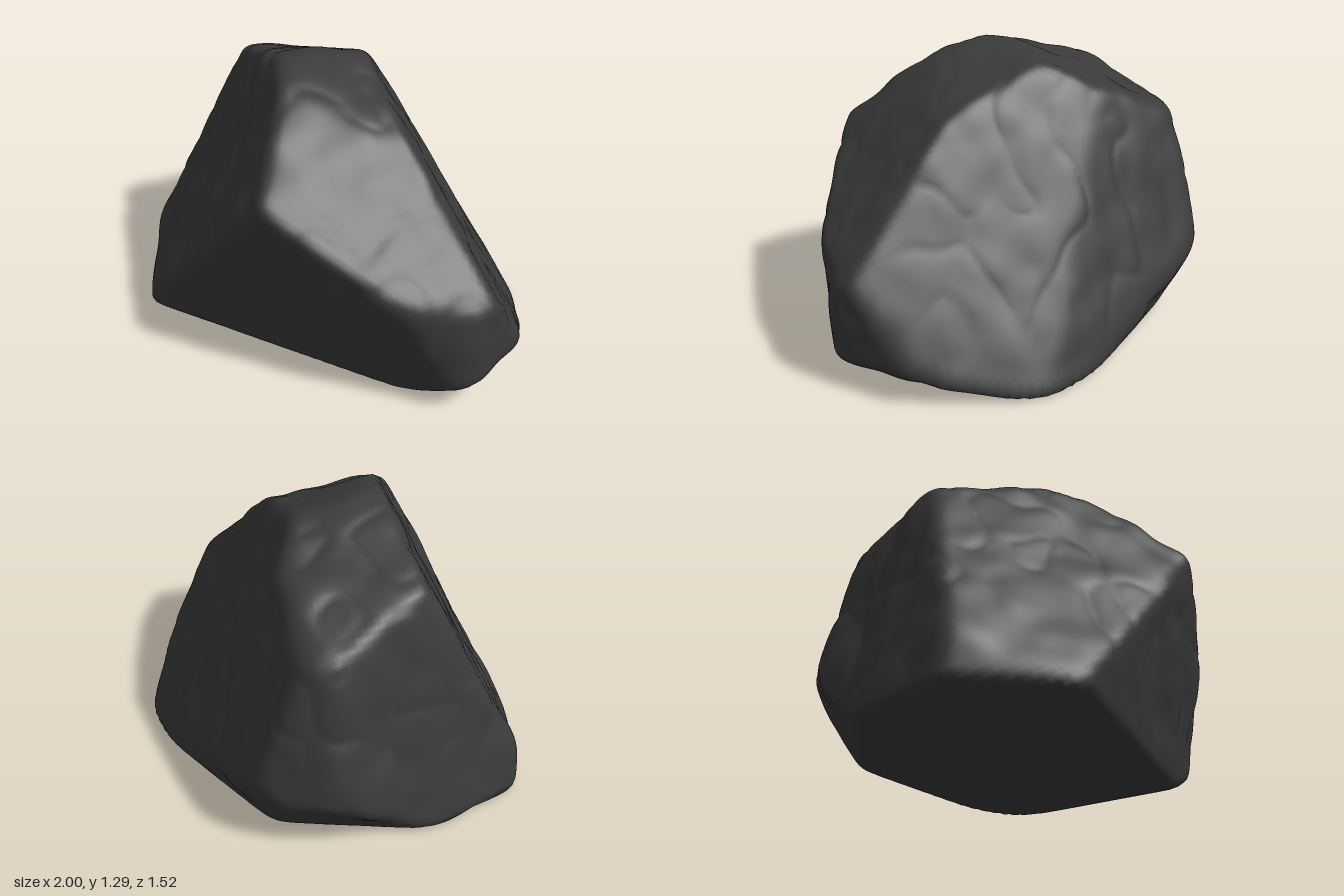
import * as THREE from 'three';
import { mergeVertices } from 'three/addons/utils/BufferGeometryUtils.js';

// Seeded value noise in -1..1
function hash(x, y, z) {
  let h = Math.imul(x, 374761393) ^ Math.imul(y, 668265263) ^ Math.imul(z, 1274126177);
  h = Math.imul(h ^ (h >>> 13), 1103515245);
  return ((h ^ (h >>> 16)) >>> 0) / 2147483647.5 - 1;
}
function noise(x, y, z) {
  const c = [x, y, z].map(Math.floor);
  const [u, v, w] = [x - c[0], y - c[1], z - c[2]].map((t) => t * t * (3 - 2 * t));
  let sum = 0;
  for (let i = 0; i < 8; i++) {
    const a = i & 1, b = (i >> 1) & 1, d = i >> 2;
    sum += hash(c[0] + a, c[1] + b, c[2] + d) * (a ? u : 1 - u) * (b ? v : 1 - v) * (d ? w : 1 - w);
  }
  return sum;
}

// Facets of the boulder: outward direction, and a point lying on the facet
const facets = [
  [[0, -1, 0], [0, 0.006, 0]],                  // underside
  [[-0.614, 0.545, 0.845], [0.2, 0.92, 0.75]],  // sloping front, -x side
  [[0, 0, 1], [0, 0.3, 0.765]],                 // foremost edge
  [[0.25, -0.3, 0.97], [0.2, 0.8, 0.755]],      // overhanging front, +x side
  [[0.76, 0, 0.65], [0.8, 0.3, 0.5]],           // front corner, +x side
  [[-0.72, 0, 0.69], [-0.98, 0.1, 0.35]],       // front corner, -x side
  [[0.5, 0.6, 0.25], [0.25, 0.93, 0.72]],       // long slope towards +x
  [[0.76, 0.67, -0.87], [0, 0.95, -0.36]],      // long slope towards the back, +x side
  [[1, 0, 0], [0.99, 0.4, 0.1]],                // blunt end, +x
  [[0.4, -0.92, 0], [0.7, 0.01, 0]],            // undercut below the blunt end
  [[0.81, 0, -0.58], [1, 0.3, -0.07]],          // back corner, +x side
  [[0.3, 0.35, -0.85], [-0.43, 0.36, -0.77]],   // back
  [[-0.5, 0.2, -0.85], [-0.72, 0.3, -0.6]],     // back corner, -x side
  [[-0.67, -0.67, -0.74], [-0.5, 0, -0.5]],     // undercut below that corner
  [[0, -0.37, -0.93], [0, 0.03, -0.63]],        // undercut at the back
  [[-0.95, 0.23, -0.2], [-0.985, 0.12, 0.35]],  // steep side, -x
  [[0.38, 1, 0], [-0.1, 1.275, 0]],             // top
  [[-0.25, 1, 0], [-0.15, 1.275, 0]],
  [[-0.24, 0.906, -0.344], [-0.1, 1.27, -0.02]],
  [[0, 0.75, -0.65], [0, 1.12, -0.35]],         // shoulder behind the top
];

function boulderGeometry() {
  const center = new THREE.Vector3(0, 0.5, 0);
  const planes = facets.map(([n, p]) => {
    const normal = new THREE.Vector3(...n);
    const reach = normal.dot(new THREE.Vector3(...p).sub(center));
    return normal.divideScalar(reach);
  });

  let geo = new THREE.IcosahedronGeometry(1, 40);
  geo.deleteAttribute('normal');
  geo.deleteAttribute('uv');
  geo = mergeVertices(geo, 1e-5);

  // Push each point out to the softly rounded intersection of the facets
  const pos = geo.attributes.position;
  const v = new THREE.Vector3();
  const softness = 42;
  const swell = 1.012; // makes up for the rounding of the corners
  for (let i = 0; i < pos.count; i++) {
    v.fromBufferAttribute(pos, i).normalize();
    let sum = 0;
    for (const n of planes) sum += Math.pow(Math.max(0, n.dot(v)), softness);
    v.multiplyScalar(swell * Math.pow(sum, -1 / softness));
    const { x, y, z } = v;
    // Weathered bumps and shallow chips, fading out on the underside
    const fade = THREE.MathUtils.smoothstep(y, -0.49, -0.35);
    const bumps = 0.014 * noise(x * 4, y * 4, z * 4) + 0.01 * noise(x * 9, y * 7, z * 9);
    const chips = -0.01 * Math.pow(1 - Math.abs(noise(x * 6 + 20, y * 4, z * 6)), 6);
    v.multiplyScalar(1 + fade * (bumps + chips)).add(center);
    pos.setXYZ(i, v.x, v.y, v.z);
  }
  geo.computeVertexNormals();
  return geo;
}

export function createModel() {
  const model = new THREE.Group();
  model.name = 'rock';
  const stone = new THREE.MeshStandardMaterial({ color: 0x3a3a3a });
  stone.name = 'dark stone';
  const boulder = new THREE.Mesh(boulderGeometry(), stone);
  boulder.name = 'boulder';
  model.add(boulder);
  return model;
}
